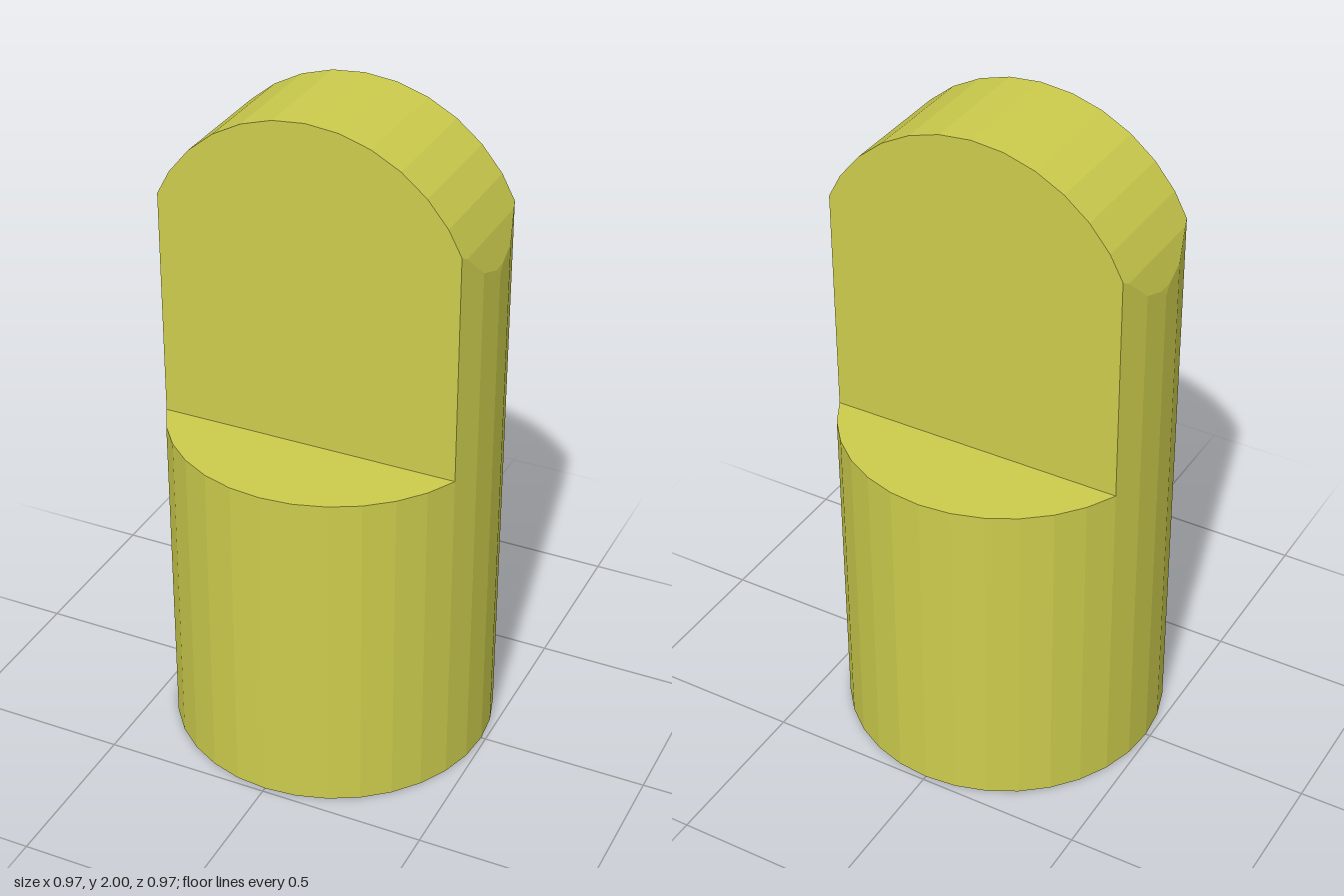
import * as THREE from 'three';

const SIDES = 32, STEP = (2 * Math.PI) / SIDES;
const R = 0.486;          // cylinder radius
const ARC = 0.493;        // radius of the rounded top
const SHOULDER = 1.02;    // height where the flats are cut
const TOP = 2;

// Height above centre of a faceted circle at offset v from its middle
function facetHeight(radius, v) {
  const k = Math.min(Math.floor(Math.asin(Math.min(Math.abs(v) / radius, 1)) / STEP + 1e-6), SIDES / 4 - 1);
  const x0 = radius * Math.sin(k * STEP), x1 = radius * Math.sin((k + 1) * STEP);
  const y0 = radius * Math.cos(k * STEP), y1 = radius * Math.cos((k + 1) * STEP);
  return y0 + ((y1 - y0) * (Math.abs(v) - x0)) / (x1 - x0);
}

// Outline of the tongue where its half width is w
function tongueProfile(w) {
  const pts = [new THREE.Vector2(-w, SHOULDER)];
  for (let k = -SIDES / 4; k <= SIDES / 4; k++) {
    const x = THREE.MathUtils.clamp(ARC * Math.sin(k * STEP), -w, w);
    pts.push(new THREE.Vector2(x, TOP - ARC + facetHeight(ARC, x)));
  }
  pts.push(new THREE.Vector2(w, SHOULDER));
  return pts;
}

// Side walls and rounded roof, lofted through slices along z
function tongueShell() {
  const half = R * Math.sin(2 * STEP);
  const zs = [0, R * Math.sin(STEP), half];
  // extra slices where an edge of the roof meets the side wall
  for (const k of [6, 7]) {
    const x = ARC * Math.sin(k * STEP);
    let lo = 0, hi = half;
    for (let i = 0; i < 40; i++) {
      const mid = (lo + hi) / 2;
      if (facetHeight(R, mid) > x) lo = mid; else hi = mid;
    }
    zs.push(lo);
  }
  const slices = [...zs, ...zs.filter((z) => z > 0).map((z) => -z)].sort((a, b) => a - b)
    .map((z) => tongueProfile(facetHeight(R, z)).map((p) => new THREE.Vector3(p.x, p.y, z)));
  const pos = [];
  const tri = (a, b, c) => {
    if (new THREE.Triangle(a, b, c).getArea() > 1e-9) for (const p of [a, b, c]) pos.push(p.x, p.y, p.z);
  };
  for (let i = 0; i < slices.length - 1; i++) {
    const s = slices[i], t = slices[i + 1];
    for (let j = 0; j < s.length - 1; j++) {
      tri(s[j], t[j], t[j + 1]);
      tri(s[j], t[j + 1], s[j + 1]);
    }
  }
  const geo = new THREE.BufferGeometry();
  geo.setAttribute('position', new THREE.Float32BufferAttribute(pos, 3));
  geo.computeVertexNormals();
  return geo;
}

export function createModel() {
  const group = new THREE.Group();
  group.name = 'tonguedPin';
  const material = new THREE.MeshStandardMaterial({ color: 0xcccc4d, flatShading: true });
  const add = (name, geo) => {
    const mesh = new THREE.Mesh(geo, material);
    mesh.name = name;
    group.add(mesh);
  };

  // Cylindrical body
  add('bodyWall', new THREE.CylinderGeometry(R, R, SHOULDER, SIDES, 1, true).translate(0, SHOULDER / 2, 0));
  add('bodyBottom', new THREE.CircleGeometry(R, SIDES).rotateX(Math.PI / 2));

  // Tongue with rounded top
  add('tongueShell', tongueShell());

  // Flat cheeks and the shoulders below them, front and back
  const half = R * Math.sin(2 * STEP);
  const cheek = new THREE.Shape(tongueProfile(R * Math.cos(2 * STEP)).filter((p, i, all) =>
    i === 0 || p.distanceTo(all[i - 1]) > 1e-6));
  const segment = new THREE.Shape();
  for (let k = 2; k <= SIDES / 2 - 2; k++) {
    const x = R * Math.cos(k * STEP), y = -R * Math.sin(k * STEP);
    if (k === 2) segment.moveTo(x, y); else segment.lineTo(x, y);
  }
  for (const [side, turn] of [['front', 0], ['back', Math.PI]]) {
    add(side + 'Cheek', new THREE.ShapeGeometry(cheek).translate(0, 0, half).rotateY(turn));
    add(side + 'Shoulder', new THREE.ShapeGeometry(segment).rotateX(-Math.PI / 2).translate(0, SHOULDER, 0).rotateY(turn));
  }
  return group;
}
